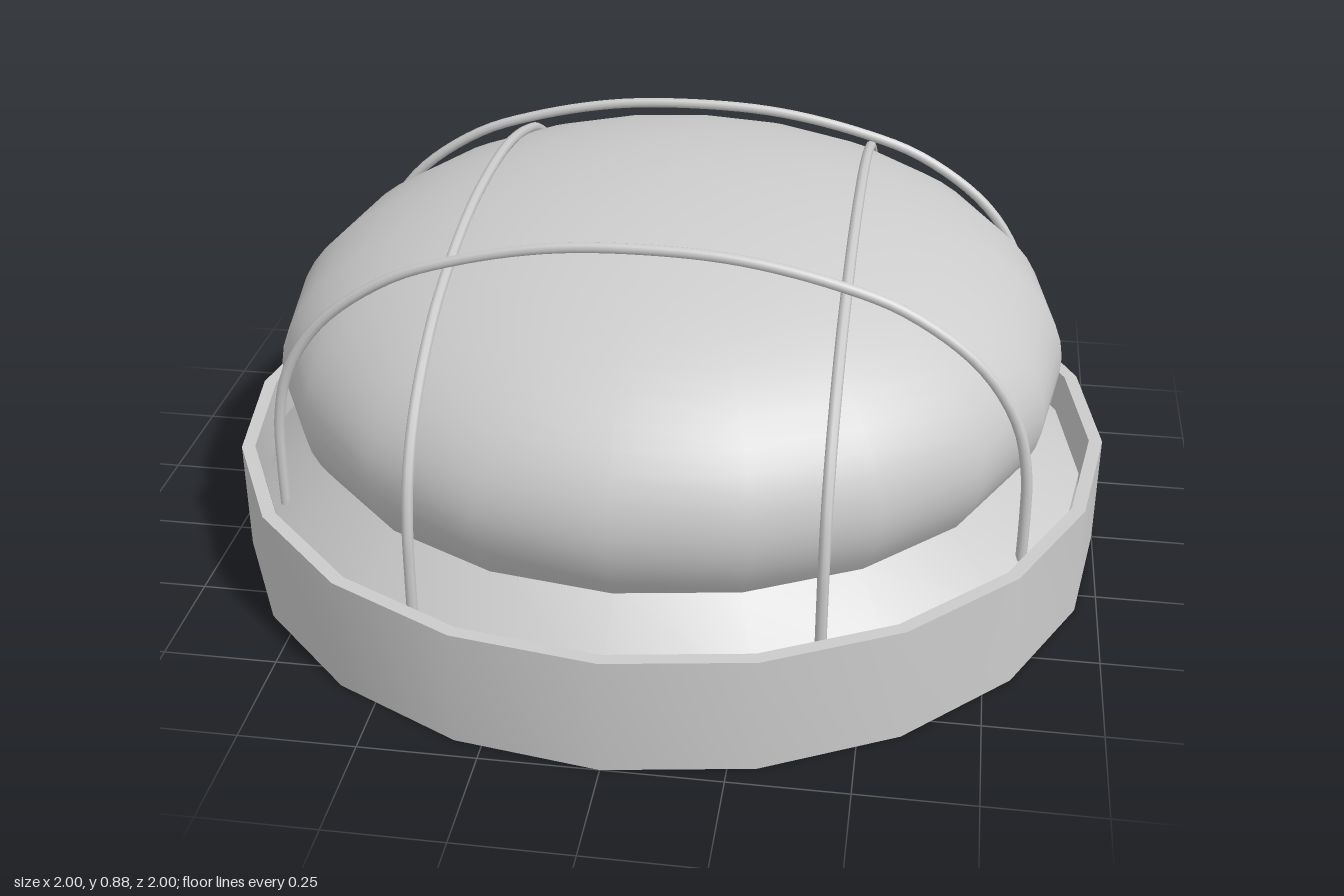
import * as THREE from 'three';
import { toCreasedNormals } from 'three/addons/utils/BufferGeometryUtils.js';

const SIDES = 20;

export function createModel() {
  const group = new THREE.Group();
  const material = new THREE.MeshStandardMaterial({ color: 0xcccccc });

  const add = (name, geometry) => {
    const mesh = new THREE.Mesh(geometry, material);
    mesh.name = name;
    group.add(mesh);
    return mesh;
  };

  // Turned part from [radius, height] pairs, listed bottom to top on the outside
  const lathe = (profile) =>
    new THREE.LatheGeometry(profile.map(([r, y]) => new THREE.Vector2(r, y)), SIDES);

  // Thin outer rim, open in the middle
  add('rim', toCreasedNormals(
    lathe([[0.97, 0], [1, 0], [1, 0.26], [0.97, 0.26], [0.97, 0]]), 0.5));

  // Base plate with a sloping shoulder
  add('base', toCreasedNormals(
    lathe([[0, 0.005], [0.955, 0.005], [0.955, 0.17], [0.81, 0.31], [0, 0.31]]), 0.5));

  // Flattened dome, cut off a little below its widest line
  const dome = [];
  const start = -Math.asin(0.15 / 0.425);
  for (let i = 0; i <= 20; i++) {
    const a = start + (Math.PI / 2 - start) * (i / 20);
    dome.push([Math.max(0, 0.89 * Math.cos(a)), 0.46 + 0.425 * Math.sin(a)]);
  }
  add('dome', lathe(dome));

  // Guard wires: half profile mirrored into an arch
  const half = [[0.817, 0.19], [0.817, 0.3], [0.812, 0.41], [0.783, 0.53],
    [0.7, 0.655], [0.545, 0.767], [0.4, 0.82], [0.2, 0.862]];
  const wire = (drop) => {
    const side = (s) => half.map(([x, y]) =>
      new THREE.Vector3(s * x, y - drop * THREE.MathUtils.smoothstep(y, 0.3, 0.8), 0));
    const points = [...side(-1), new THREE.Vector3(0, 0.873 - drop, 0), ...side(1).reverse()];
    return new THREE.TubeGeometry(new THREE.CatmullRomCurve3(points), 72, 0.012, 8);
  };
  const upper = wire(0);
  const lower = wire(0.03);
  for (const s of [-1, 1]) {
    add('crossWire', upper).position.z = s * 0.418;
    const mesh = add('lengthWire', lower);
    mesh.rotation.y = Math.PI / 2;
    mesh.position.x = s * 0.418;
  }

  return group;
}
